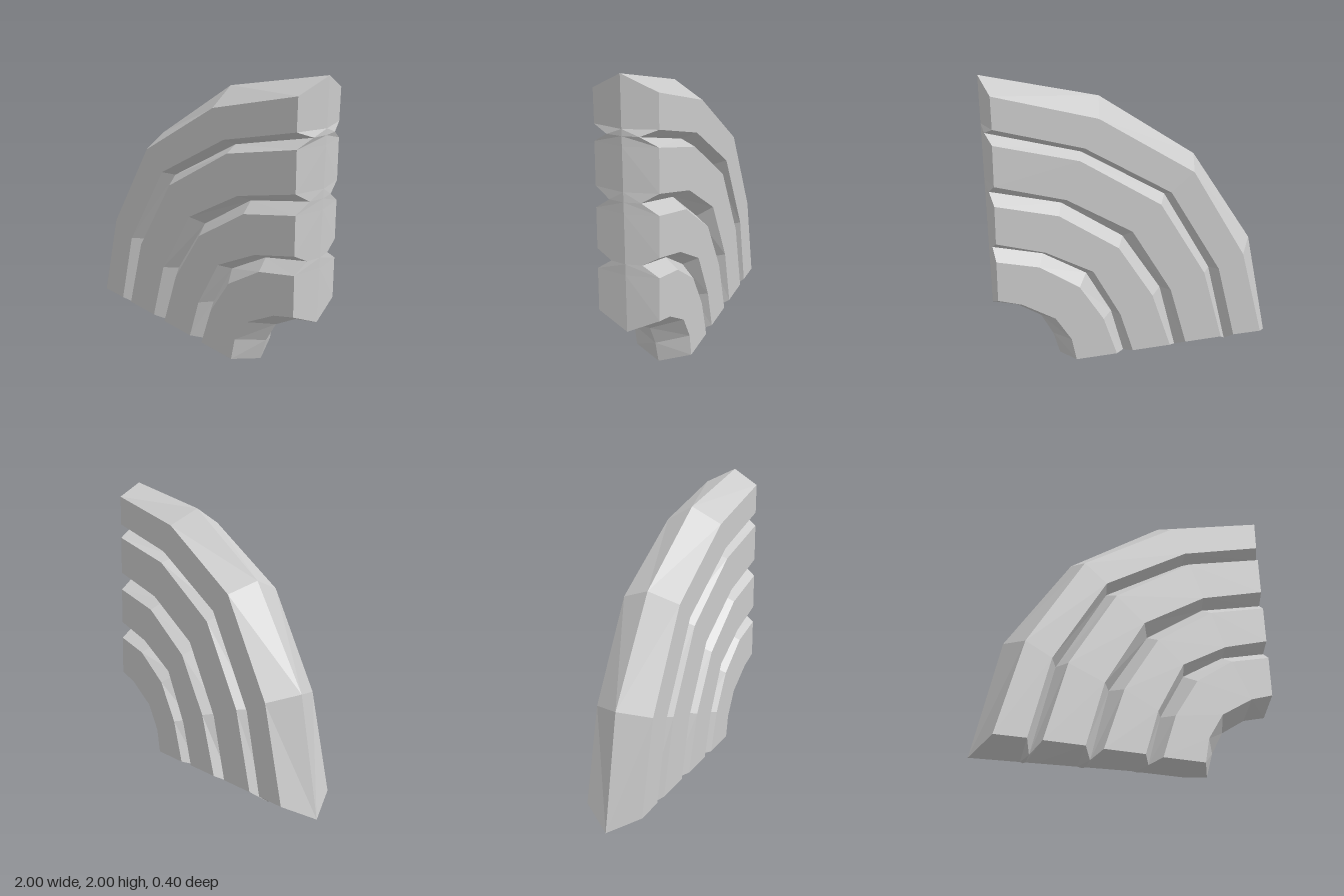
import * as THREE from 'three';

// Depth of each profile point: outer ridge, rim, three V grooves, inner rim, inner ridge
const DEPTH = [0, .2, .2, .1, .2, .2, .1, .2, .2, .1, .2, .2, 0];

// Front outline of the profile at the five stations along the arc, as x, y from outside to inside
const STATIONS = [
  [-1, 0, -.89, .1, -.685, .095, -.65, .02, -.59, .09, -.325, .08, -.27, .02, -.21, .07, .06, .06, .11, .02, .175, .05, .46, .04, .55, 0],
  [-.84, .765, -.73, .72, -.555, .625, -.51, .605, -.45, .605, -.21, .5, -.155, .485, -.08, .47, .147, .35, .195, .34, .265, .33, .49, .2, .595, .16],
  [-.41, 1.415, -.36, 1.34, -.205, 1.21, -.18, 1.175, -.135, 1.13, .06, .955, .11, .895, .155, .845, .33, .69, .365, .645, .425, .585, .595, .37, .675, .31],
  [.24, 1.84, .275, 1.73, .37, 1.545, .38, 1.5, .4, 1.463, .495, 1.21, .52, 1.163, .548, 1.104, .644, .858, .655, .815, .687, .757, .815, .5, .842, .414],
  [1, 2, .94, 1.9, .94, 1.695, .985, 1.655, .945, 1.595, .95, 1.33, .98, 1.27, .955, 1.2, .96, .945, .98, .89, .965, .82, .97, .545, 1, .45],
];

function archGeometry() {
  const positions = [];
  const tri = (a, b, c) => {
    const area = b.clone().sub(a).cross(c.clone().sub(a)).length();
    if (area > 1e-7) for (const p of [a, b, c]) positions.push(p.x, p.y, p.z);
  };
  const quad = (a, b, c, d, flip) => {
    if (flip) [b, d] = [d, b];
    tri(a, b, c);
    tri(a, c, d);
  };

  for (const side of [1, -1]) {
    const flip = side < 0;
    const rows = STATIONS.map(s => DEPTH.map((z, i) => new THREE.Vector3(s[2 * i], s[2 * i + 1], z * side)));
    const last = DEPTH.length - 1;

    // Grooved half shell, including the slopes to the outer and inner ridges
    for (let j = 0; j < rows.length - 1; j++) {
      for (let i = 0; i < last; i++) {
        quad(rows[j][i], rows[j][i + 1], rows[j + 1][i + 1], rows[j + 1][i], flip);
      }
    }

    // Wedge-shaped ends: strips from the centre crease to the side profile
    for (const row of [rows[0], rows[rows.length - 1]]) {
      const crease = new THREE.Line3(row[0], row[last]);
      const centre = row.map(p => crease.closestPointToPoint(p, true, new THREE.Vector3()));
      for (let i = 0; i < last; i++) {
        quad(centre[i], centre[i + 1], row[i + 1], row[i], (row !== rows[0]) !== flip);
      }
    }
  }

  const geometry = new THREE.BufferGeometry();
  geometry.setAttribute('position', new THREE.Float32BufferAttribute(positions, 3));
  geometry.computeVertexNormals();
  return geometry;
}

export function createModel() {
  const group = new THREE.Group();
  group.name = 'quarterArch';
  const material = new THREE.MeshStandardMaterial({ color: 0xcccccc, flatShading: true });
  const arch = new THREE.Mesh(archGeometry(), material);
  arch.name = 'groovedArch';
  group.add(arch);
  return group;
}
